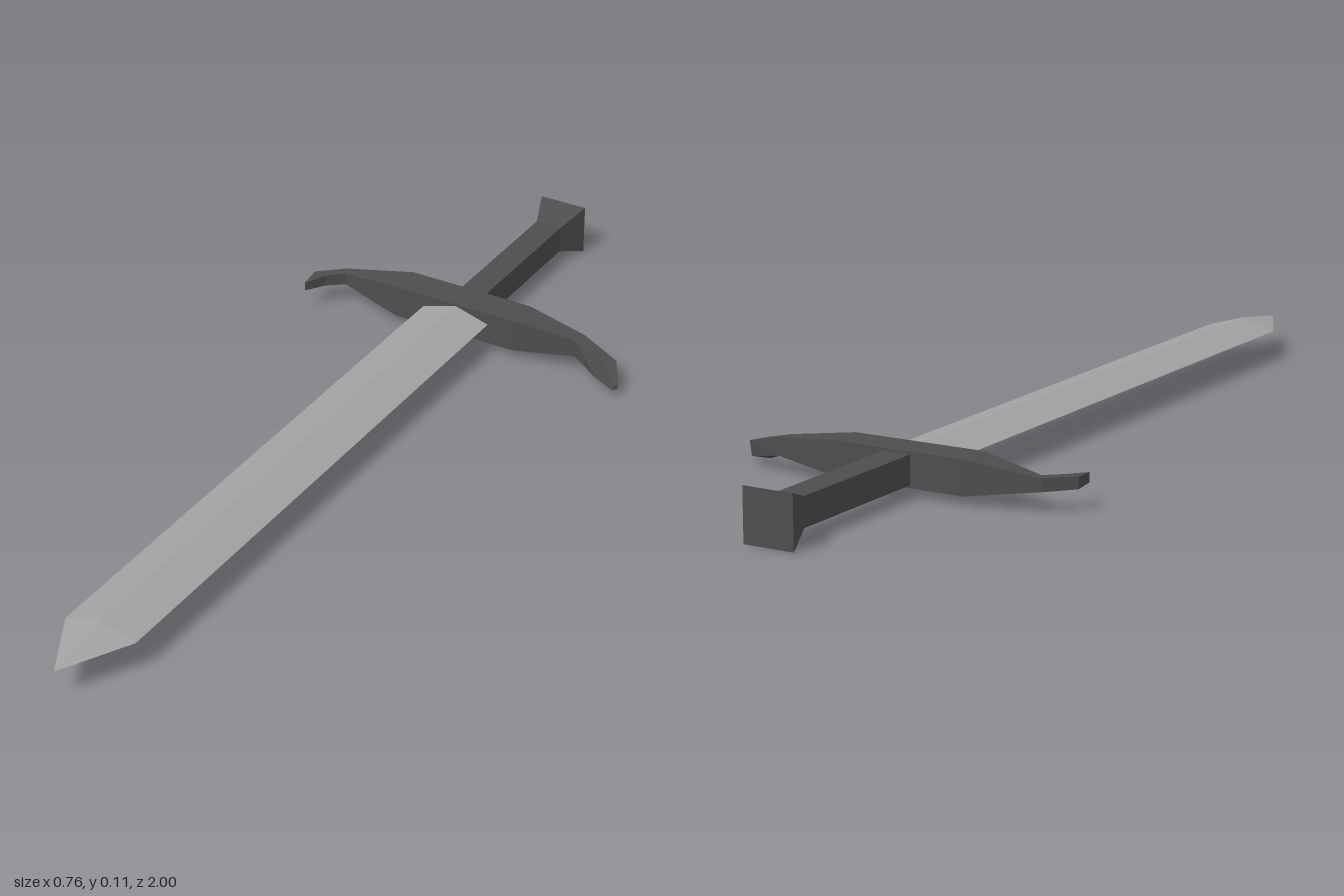
import * as THREE from 'three';

// Skin a list of rings (equal point counts, counterclockwise seen from the last ring)
function loft(rings) {
  const pos = [];
  const tri = (a, b, c) => pos.push(...a, ...b, ...c);
  const n = rings[0].length;
  for (let i = 0; i < rings.length - 1; i++) {
    for (let j = 0; j < n; j++) {
      const k = (j + 1) % n;
      const a = rings[i][j], b = rings[i][k], c = rings[i + 1][k], d = rings[i + 1][j];
      tri(a, b, c);
      tri(a, c, d);
    }
  }
  const first = rings[0], last = rings[rings.length - 1];
  for (let j = 1; j < n - 1; j++) {
    tri(first[0], first[j + 1], first[j]);
    tri(last[0], last[j], last[j + 1]);
  }
  const geo = new THREE.BufferGeometry();
  geo.setAttribute('position', new THREE.Float32BufferAttribute(pos, 3));
  geo.computeVertexNormals();
  return geo;
}

export function createModel() {
  const steel = new THREE.MeshStandardMaterial({ color: 0xa3a3a3, flatShading: true });
  steel.name = 'steel';
  const darkIron = new THREE.MeshStandardMaterial({ color: 0x4d4d4d, flatShading: true });
  darkIron.name = 'darkIron';

  const group = new THREE.Group();
  const add = (name, rings, material) => {
    const mesh = new THREE.Mesh(loft(rings), material);
    mesh.name = name;
    group.add(mesh);
  };
  const cx = -0.027;

  // Blade: diamond section running to a point
  const diamond = (z, w, h) => [
    [cx + w, 0.065, z], [cx, 0.065 + h, z], [cx - w, 0.065, z], [cx, 0.065 - h, z],
  ];
  add('blade', [
    diamond(-0.52, 0.079, 0.023), diamond(0.85, 0.079, 0.023), diamond(1, 0.0005, 0.0005),
  ], steel);

  // Grip and flared pommel: square sections
  const square = (z, r) => [
    [cx - r, 0.056 - r, z], [cx + r, 0.056 - r, z], [cx + r, 0.056 + r, z], [cx - r, 0.056 + r, z],
  ];
  add('pommel', [square(-1, 0.055), square(-0.93, 0.03)], darkIron);
  add('grip', [square(-0.93, 0.03), square(-0.55, 0.03)], darkIron);

  // Crossguard: tapering box sections from the right hook to the left one
  // each row: back x, front x, low y, high y, back z, front z
  const rings = [
    [-0.378, -0.373, 0.047, 0.067, -0.455, -0.462],
    [-0.382, -0.352, 0.045, 0.07, -0.503, -0.5],
    [-0.33, -0.318, 0.043, 0.07, -0.55, -0.53],
    [-0.175, -0.175, 0.02, 0.092, -0.578, -0.503],
    [0.115, 0.115, 0.02, 0.092, -0.578, -0.503],
    [0.26, 0.253, 0.037, 0.075, -0.555, -0.523],
  ].map(([xb, xf, lo, hi, zb, zf]) => [
    [xb, lo, zb], [xb, hi, zb], [xf, hi, zf], [xf, lo, zf],
  ]);
  // the left hook droops and twists
  rings.push(
    [[0.345, 0.02, -0.528], [0.348, 0.052, -0.53], [0.325, 0.057, -0.512], [0.32, 0.013, -0.5]],
    [[0.38, 0.021, -0.476], [0.38, 0.029, -0.478], [0.374, 0.029, -0.472], [0.37, 0.018, -0.47]],
  );
  add('crossguard', rings, darkIron);

  return group;
}
